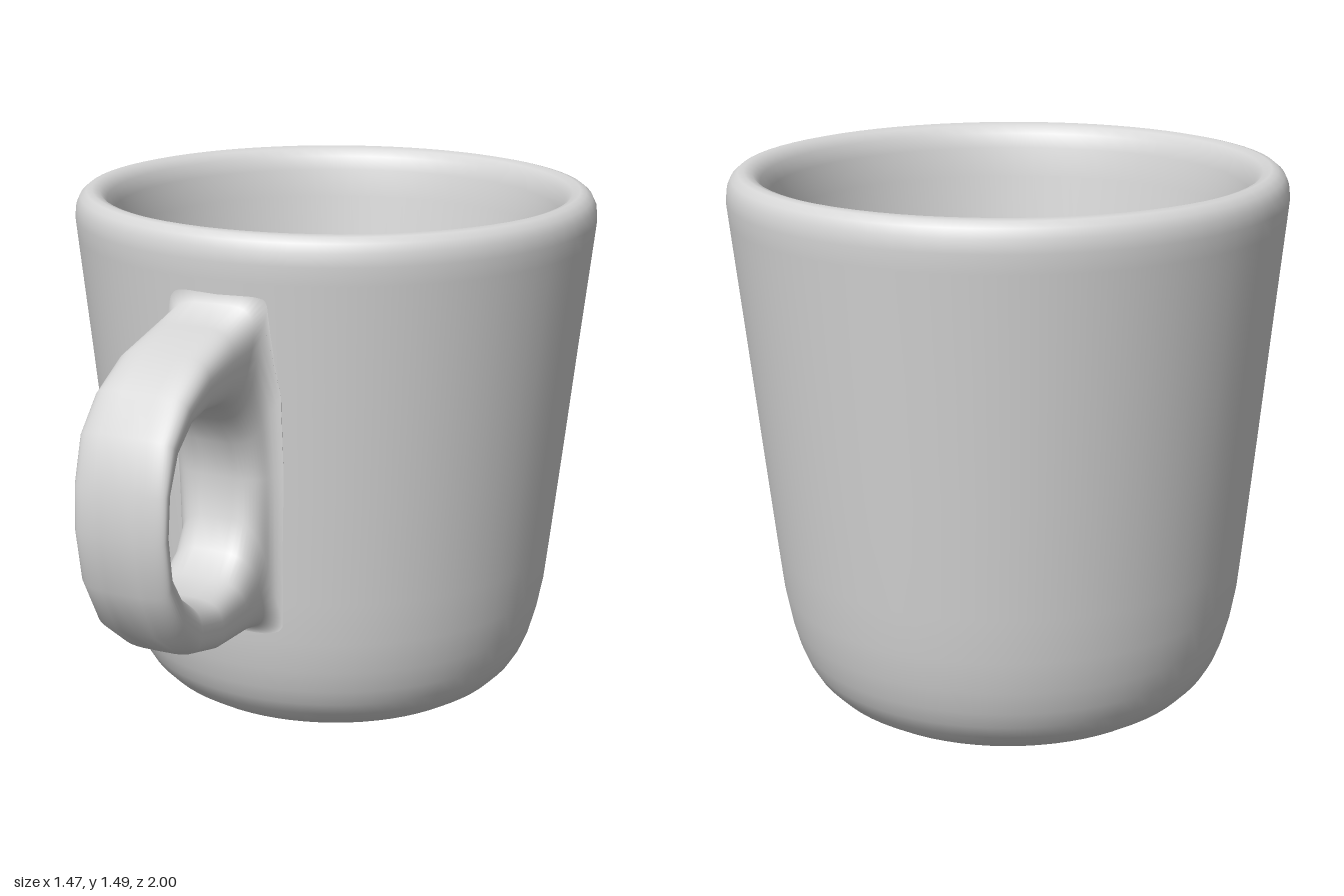
import * as THREE from 'three';

const CUP_Z = -0.26; // axis of the cup

// z of the cup's front wall at x, y
const wallZ = (x, y) => CUP_Z + Math.sqrt((0.635 + (y - 0.4) * 0.102) ** 2 - x * x);

// cup: one turned profile, up the outside, over the rim, down the conical inside
function makeCup(material) {
  const profile = [
    [0, 0], [0.2, 0], [0.3, 0.003], [0.37, 0.01], [0.43, 0.022], [0.475, 0.039],
    [0.515, 0.064], [0.55, 0.1], [0.573, 0.138], [0.592, 0.185], [0.61, 0.25],
    [0.627, 0.34], [0.64, 0.46], [0.67, 0.75], [0.7, 1.05], [0.732, 1.36],
    [0.737, 1.41], [0.733, 1.445], [0.722, 1.468], [0.705, 1.482], [0.688, 1.486],
    [0.666, 1.479], [0.647, 1.459], [0.632, 1.42], [0.618, 1.34], [0.56, 0.95],
    [0.497, 0.53], [0.44, 0.11], [0.436, 0.103], [0.428, 0.1], [0.41, 0.1], [0, 0.1],
  ].map(([r, y]) => new THREE.Vector2(r, y));
  const cup = new THREE.Mesh(new THREE.LatheGeometry(profile, 72), material);
  cup.name = 'cup';
  cup.position.z = CUP_Z;
  return cup;
}

// handle: rounded sections around the finger hole, flared into the wall
function makeHandle(material) {
  // each row: hole edge z, y and outer edge z, y
  const stations = [
    [0.75, 1.09, 0.76, 1.24], [0.83, 1.08, 0.88, 1.17], [0.9, 1.03, 0.96, 1.08],
    [0.945, 0.95, 0.993, 0.95], [0.955, 0.85, 1.0, 0.83], [0.94, 0.75, 0.975, 0.68],
    [0.88, 0.67, 0.91, 0.55], [0.8, 0.61, 0.81, 0.47], [0.7, 0.585, 0.68, 0.435],
    [0.6, 0.6, 0.5, 0.42], [0.53, 0.65, 0.42, 0.4], [0.49, 0.73, 0.35, 0.35],
    [0.48, 0.84, 0.38, 0.84], [0.5, 0.94, 0.4, 1.1], [0.56, 1.02, 0.45, 1.34],
    [0.6, 1.055, 0.49, 1.305], [0.65, 1.08, 0.62, 1.275],
  ];
  const sides = 48;
  const bend = (v, p) => Math.sign(v) * Math.abs(v) ** p;
  const positions = [];
  const nearness = [];
  const indices = [];
  stations.forEach(([zi, yi, zo, yo], i) => {
    const next = (i + 1) % stations.length;
    for (let j = 0; j < sides; j++) {
      const a = (j / sides) * Math.PI * 2;
      const t = 0.5 + 0.5 * bend(Math.sin(a), 0.7);
      const y = yi + (yo - yi) * t;
      const z = zi + (zo - zi) * t;
      const across = bend(Math.cos(a), 0.5);
      const halfWidth = 0.122 + 0.012 * (y - 0.4);
      const gap = z - wallZ(across * halfWidth, y);
      const near = Math.min(1, Math.max(0, 1 - gap / 0.08));
      positions.push(across * (halfWidth + 0.036 * near ** 3), y, z);
      nearness.push(near);
      const k = (j + 1) % sides;
      const p = i * sides + j, q = i * sides + k;
      const r = next * sides + j, s = next * sides + k;
      indices.push(p, q, r, q, s, r);
    }
  });
  // turn the faces outward if the enclosed volume comes out negative
  const corner = (n) => new THREE.Vector3().fromArray(positions, indices[n] * 3);
  let volume = 0;
  for (let n = 0; n < indices.length; n += 3) {
    volume += corner(n).dot(corner(n + 1).cross(corner(n + 2)));
  }
  if (volume < 0) indices.reverse();
  const geometry = new THREE.BufferGeometry();
  geometry.setAttribute('position', new THREE.Float32BufferAttribute(positions, 3));
  geometry.setIndex(indices);
  geometry.computeVertexNormals();
  // ease the normals into the cup's own where the handle joins it
  const normals = geometry.attributes.normal;
  const normal = new THREE.Vector3();
  const wallNormal = new THREE.Vector3();
  nearness.forEach((near, n) => {
    wallNormal.set(positions[n * 3], 0, positions[n * 3 + 2] - CUP_Z).normalize();
    normal.fromBufferAttribute(normals, n).lerp(wallNormal, near ** 2).normalize();
    normals.setXYZ(n, normal.x, normal.y, normal.z);
  });
  const handle = new THREE.Mesh(geometry, material);
  handle.name = 'handle';
  return handle;
}

export function createModel() {
  const ceramic = new THREE.MeshStandardMaterial({ color: 0xd6d6d6 });
  ceramic.name = 'grey ceramic';
  const mug = new THREE.Group();
  mug.name = 'mug';
  mug.add(makeCup(ceramic), makeHandle(ceramic));
  return mug;
}
